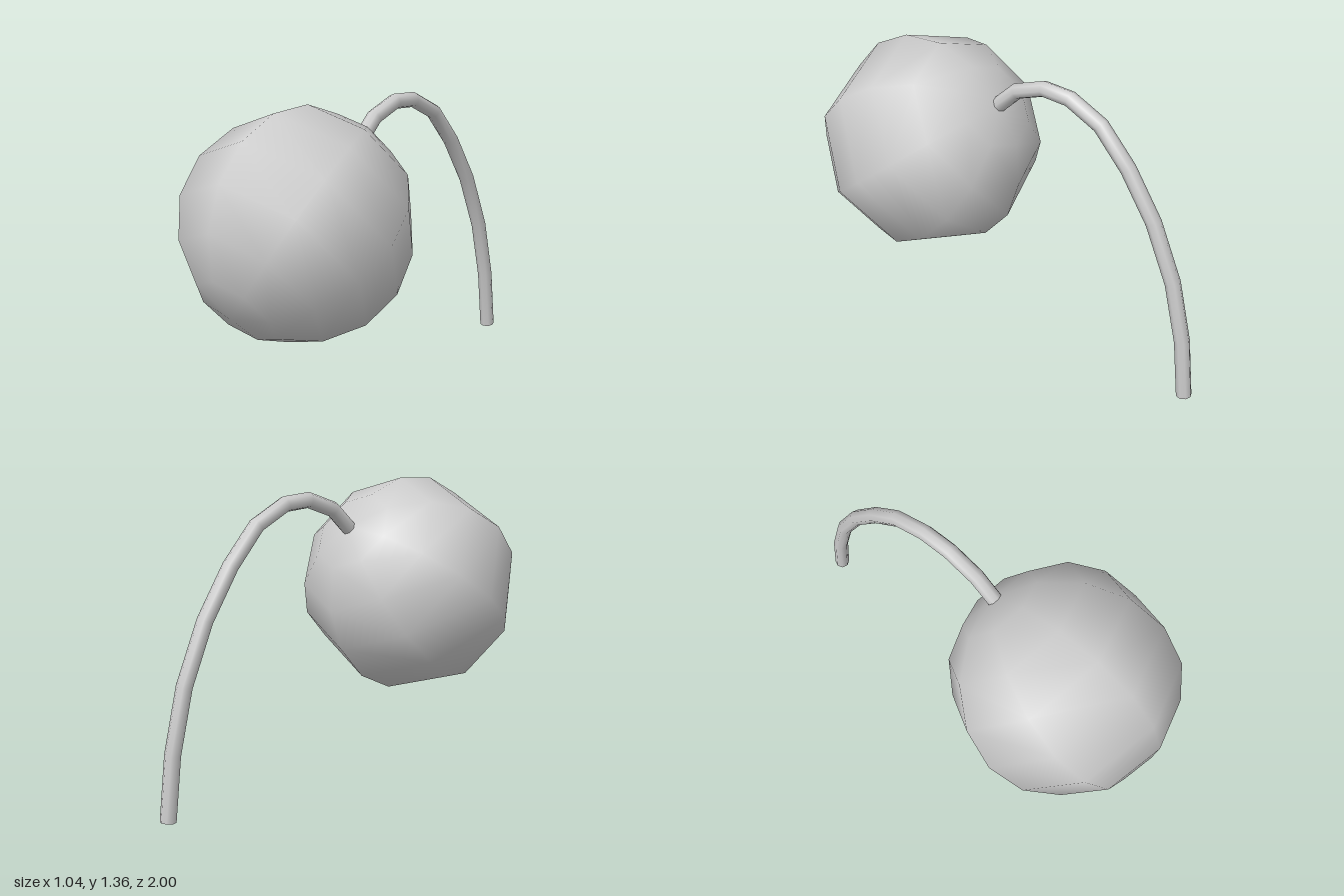
import * as THREE from 'three';

const material = new THREE.MeshStandardMaterial({ color: 0xcccccc });

function addMesh(group, geometry, name) {
  const mesh = new THREE.Mesh(geometry, material);
  mesh.name = name;
  group.add(mesh);
  return mesh;
}

export function createModel() {
  const model = new THREE.Group();
  model.name = 'fruitWithStem';

  // Fruit: coarse smooth ball whose pole leans back to meet the stem
  const fruit = addMesh(model, new THREE.SphereGeometry(0.52, 8, 8), 'fruit');
  fruit.position.set(0, 0.845, 0.485);
  fruit.rotation.x = THREE.MathUtils.degToRad(-52.5);

  // Stem: arched tube from the fruit's pole down to the ground, as [z, y]
  const path = [
    [0.083, 1.152], [-0.02, 1.25], [-0.165, 1.304], [-0.3, 1.297], [-0.46, 1.22],
    [-0.605, 1.06], [-0.745, 0.845], [-0.86, 0.58], [-0.93, 0.295], [-0.964, 0.005],
  ].map(([z, y]) => new THREE.Vector3(0, y, z));
  const curve = new THREE.CatmullRomCurve3(path);
  // Place one ring on every path point instead of spacing rings evenly
  curve.getPointAt = (t, target) => curve.getPoint(t, target);
  curve.getTangentAt = (t, target) => curve.getTangent(t, target);
  const radius = 0.036, sides = 8;
  addMesh(model, new THREE.TubeGeometry(curve, path.length - 1, radius, sides), 'stem');

  // Flat caps closing both stem ends
  for (const [t, sign, name] of [[0, -1, 'stemTopCap'], [1, 1, 'stemEndCap']]) {
    const cap = addMesh(model, new THREE.CircleGeometry(radius, sides), name);
    cap.position.copy(curve.getPoint(t));
    cap.lookAt(cap.position.clone().addScaledVector(curve.getTangent(t), sign));
  }

  return model;
}
